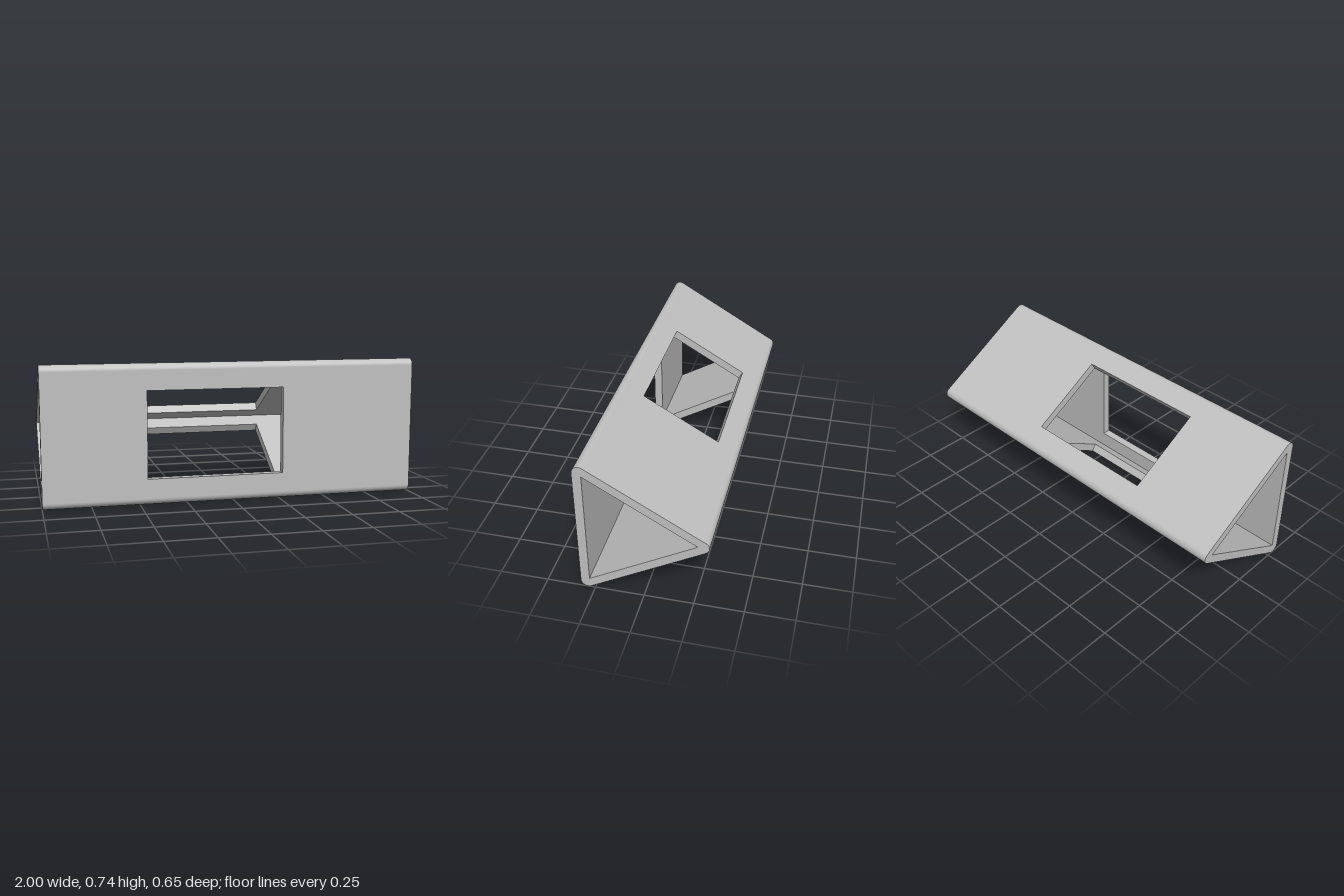
import * as THREE from 'three';

const LENGTH = 2;
const SIDE = 0.666;                        // distance between corner arc centres
const R = 0.0355;                          // outer corner radius
const IN = SIDE / (2 * Math.sqrt(3));      // centroid to line of arc centres
const OUTER = IN + R;                      // centroid to outer face
const INNER = 0.1823;                      // centroid to inner face
const T = OUTER - INNER;                   // wall thickness
const CY = 0.3685, CZ = 0.288 - IN;        // centroid of the section
const WIN = { x0: -0.46, x1: 0.267, h: 0.46 };
const THIRD = Math.PI * 2 / 3;

function rectPoints(x0, x1, h) {
  return [[x0, -h / 2], [x1, -h / 2], [x1, h / 2], [x0, h / 2]].map(p => new THREE.Vector2(...p));
}

// Flat wall face with the window cut out
function panel(height, x0, x1) {
  const shape = new THREE.Shape(rectPoints(-LENGTH / 2, LENGTH / 2, height));
  shape.holes.push(new THREE.Path(rectPoints(x0, x1, WIN.h)));
  return new THREE.ShapeGeometry(shape);
}

// Triangular ring closing the tube end; s mirrors it for the other end
function endRing(s) {
  const outer = [], inner = [];
  for (let k = 0; k < 3; k++) {
    const mid = Math.PI / 3 + k * THIRD;
    for (let i = 0; i <= 16; i++) {
      const a = k * THIRD + (i / 16) * THIRD;
      outer.push(new THREE.Vector2(
        s * (2 * IN * Math.cos(mid) + R * Math.cos(a)),
        2 * IN * Math.sin(mid) + R * Math.sin(a)));
    }
    inner.push(new THREE.Vector2(s * 2 * INNER * Math.cos(mid), 2 * INNER * Math.sin(mid)));
  }
  const shape = new THREE.Shape(outer);
  shape.holes.push(new THREE.Path(inner));
  return new THREE.ShapeGeometry(shape);
}

export function createModel() {
  const model = new THREE.Group();
  model.name = 'triangularTube';
  const grey = new THREE.MeshStandardMaterial({ color: 0xc0c0c0 });
  grey.name = 'lightGrey';

  const tube = new THREE.Group();
  tube.name = 'tube';
  tube.position.set(0, CY, CZ);
  model.add(tube);

  const add = (parent, name, geometry) => {
    const mesh = new THREE.Mesh(geometry, grey);
    mesh.name = name;
    parent.add(mesh);
  };

  // Three identical walls around the section, each with a window
  ['frontWall', 'topWall', 'bottomWall'].forEach((name, k) => {
    const wall = new THREE.Group();
    wall.name = name;
    wall.rotation.x = -k * THIRD;
    tube.add(wall);

    add(wall, 'outerFace', panel(SIDE, WIN.x0, WIN.x1).translate(0, 0, OUTER));
    add(wall, 'innerFace', panel(INNER * 2 * Math.sqrt(3), -WIN.x1, -WIN.x0)
      .rotateY(Math.PI).translate(0, 0, INNER));

    // Window reveals
    const w = WIN.x1 - WIN.x0, cx = (WIN.x0 + WIN.x1) / 2, cz = (OUTER + INNER) / 2;
    for (const s of [-1, 1]) {
      add(wall, 'windowJamb', new THREE.PlaneGeometry(T, WIN.h)
        .rotateY(-s * Math.PI / 2).translate(cx + s * w / 2, 0, cz));
      add(wall, s < 0 ? 'windowSill' : 'windowHead', new THREE.PlaneGeometry(w, T)
        .rotateX(s * Math.PI / 2).translate(cx, s * WIN.h / 2, cz));
    }

    // Rounded outer corner
    add(wall, 'roundedCorner', new THREE.CylinderGeometry(R, R, LENGTH, 16, 1, true, 0, THIRD)
      .rotateZ(Math.PI / 2).translate(0, SIDE / 2, IN));
  });

  // Open ends
  add(tube, 'leftEnd', endRing(-1).rotateY(Math.PI / 2).translate(LENGTH / 2, 0, 0));
  add(tube, 'rightEnd', endRing(1).rotateY(-Math.PI / 2).translate(-LENGTH / 2, 0, 0));

  return model;
}
